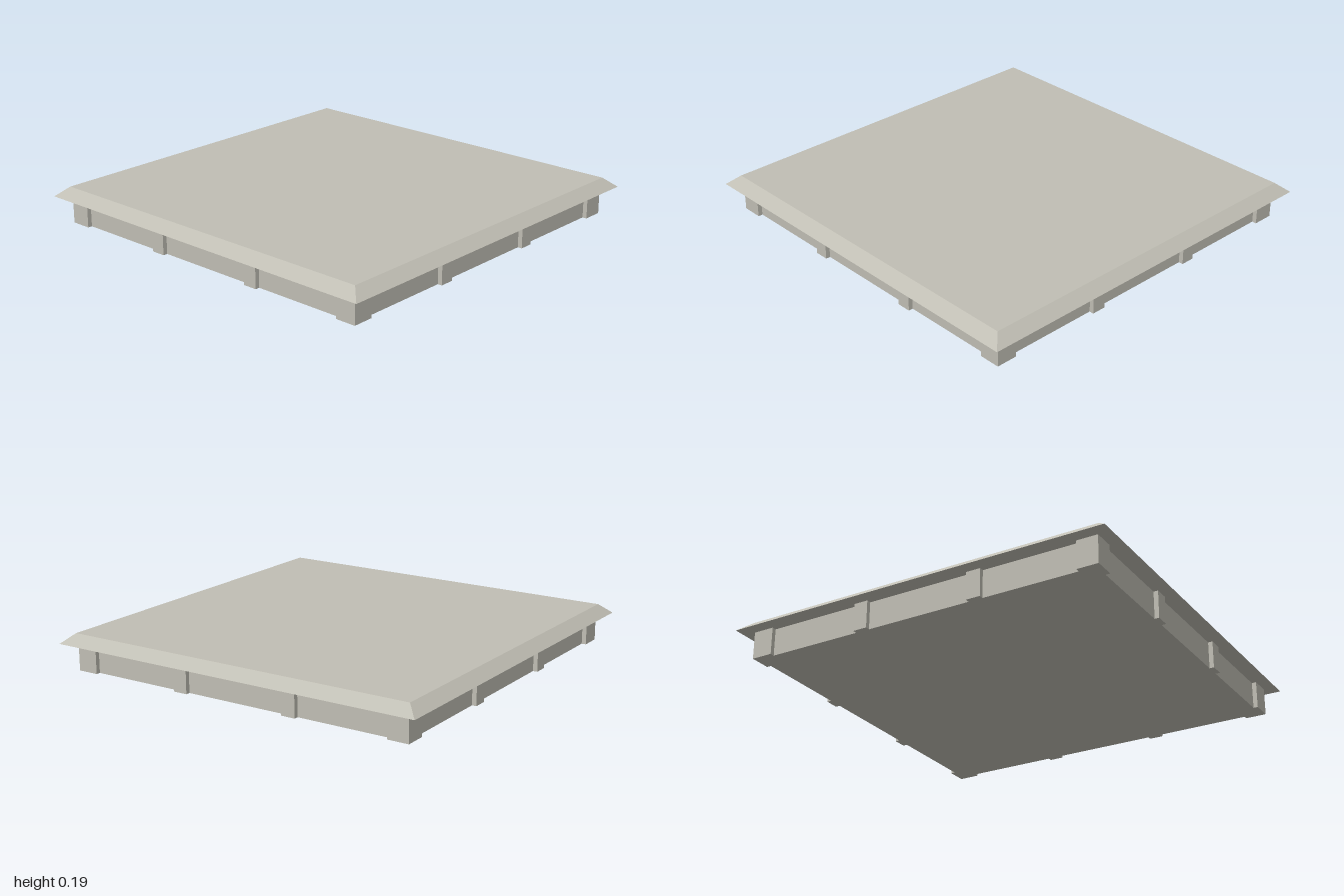
import * as THREE from 'three';

export function createModel() {
  const group = new THREE.Group();
  const stone = new THREE.MeshStandardMaterial({ color: 0xc0beb4 });
  stone.name = 'warm grey stone';

  const baseHeight = 0.14, capHeight = 0.05;
  const outer = 0.935, wall = 0.912; // half widths of pilasters and recessed wall

  const addBox = (name, w, d, x, z) => {
    const mesh = new THREE.Mesh(new THREE.BoxGeometry(w, baseHeight, d), stone);
    mesh.name = name;
    mesh.position.set(x, baseHeight / 2, z);
    group.add(mesh);
  };

  // Recessed plinth body
  addBox('plinth', wall * 2, wall * 2, 0, 0);

  // Corner posts
  const corner = 0.108;
  for (const sx of [-1, 1]) {
    for (const sz of [-1, 1]) {
      addBox('cornerPost', corner, corner, sx * (outer - corner / 2), sz * (outer - corner / 2));
    }
  }

  // Two shallow pilasters on each side
  const pilaster = 0.073, depth = 0.04, offset = 0.307;
  for (const side of [-1, 1]) {
    for (const along of [-offset, offset]) {
      addBox('pilaster', pilaster, depth, along, side * (outer - depth / 2));
      addBox('pilaster', depth, pilaster, side * (outer - depth / 2), along);
    }
  }

  // Overhanging slab, its top edge drawn in to form the bevel
  const slab = new THREE.BoxGeometry(2, capHeight, 2);
  const pos = slab.attributes.position;
  for (let i = 0; i < pos.count; i++) {
    if (pos.getY(i) > 0) {
      pos.setX(i, pos.getX(i) * 0.942);
      pos.setZ(i, pos.getZ(i) * 0.942);
    }
  }
  slab.computeVertexNormals();
  const cap = new THREE.Mesh(slab, stone);
  cap.name = 'bevelledSlab';
  cap.position.y = baseHeight + capHeight / 2;
  group.add(cap);

  return group;
}
